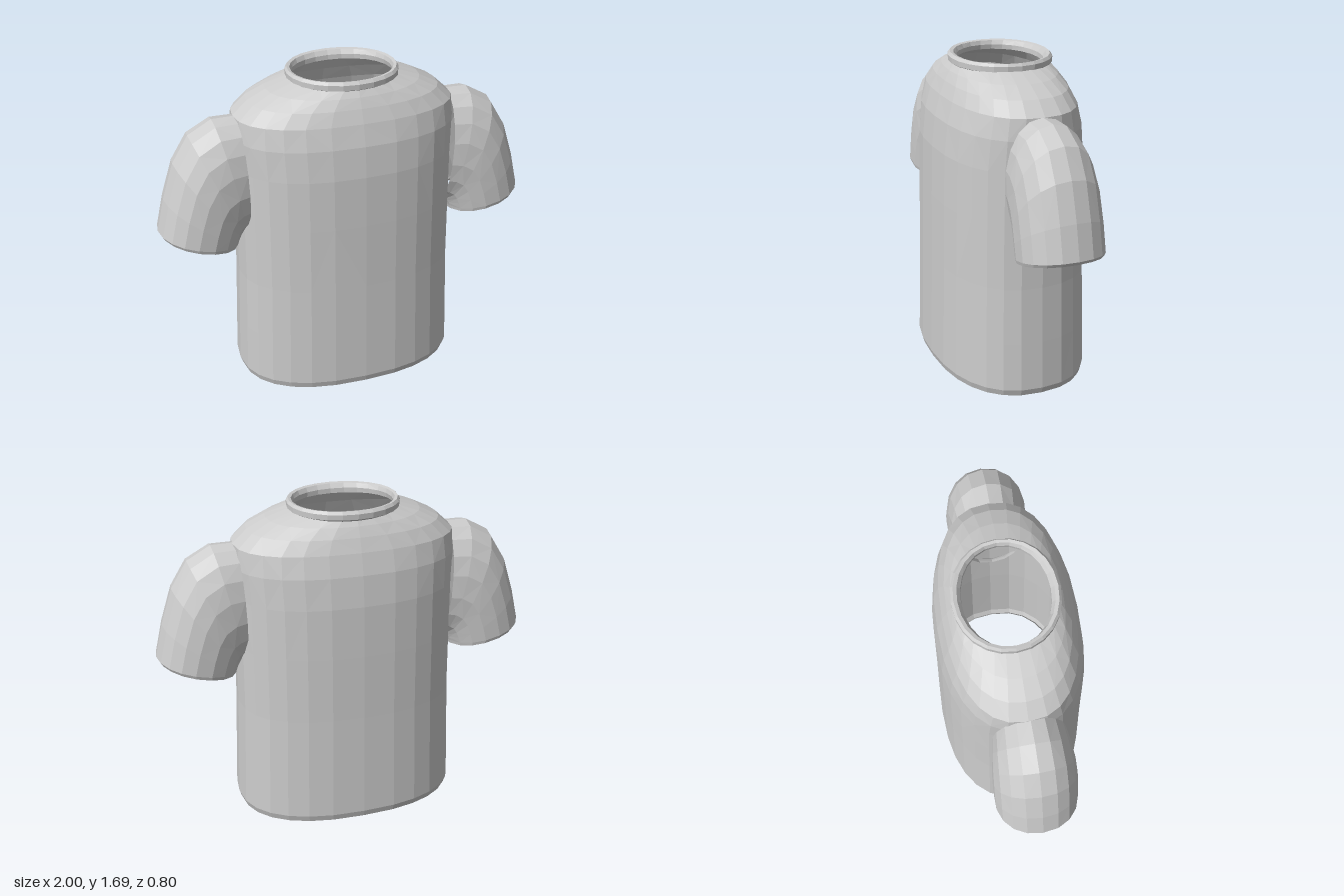
import * as THREE from 'three';

// Signed power, used for superellipse cross-sections
const spow = (v, n) => Math.sign(v) * Math.pow(Math.abs(v), 2 / n);

// Skin a list of closed rings (each an array of [x, y, z]) into a faceted surface
function loft(rings) {
  const n = rings[0].length;
  const index = [];
  for (let i = 0; i < rings.length - 1; i++) {
    for (let j = 0; j < n; j++) {
      const k = (j + 1) % n;
      const a = i * n + j, b = i * n + k, c = a + n, d = b + n;
      if ((i + j) % 2) index.push(a, b, d, a, d, c);
      else index.push(a, b, c, b, d, c);
    }
  }
  const indexed = new THREE.BufferGeometry();
  indexed.setAttribute('position', new THREE.Float32BufferAttribute(rings.flat(2), 3));
  indexed.setIndex(index);
  const geometry = indexed.toNonIndexed();
  geometry.computeVertexNormals();
  return geometry;
}

// Horizontal superellipse ring
function levelRing(y, a, b, n, zOff, count) {
  return Array.from({ length: count }, (_, j) => {
    const t = (j / count) * Math.PI * 2;
    return [a * spow(Math.cos(t), n), y, zOff - b * spow(Math.sin(t), n)];
  });
}

// Tilted sleeve ring spanning from an underarm point to an outer point
function sleeveRing([ix, iy, ox, oy, w], side, count) {
  return Array.from({ length: count }, (_, j) => {
    const t = (j / count) * Math.PI * 2;
    const f = 0.5 + 0.5 * spow(Math.cos(t), 2.15);
    return [
      side * (ix + (ox - ix) * f),
      iy + (oy - iy) * f,
      0.01 - side * w * spow(Math.sin(t), 2.15),
    ];
  });
}

export function createModel() {
  const shirt = new THREE.Group();
  shirt.name = 'shirt';
  const fabric = new THREE.MeshStandardMaterial({
    color: 0xcccccc, flatShading: true, side: THREE.DoubleSide,
  });
  fabric.name = 'light grey fabric';

  const add = (name, rings) => {
    const mesh = new THREE.Mesh(loft(rings), fabric);
    mesh.name = name;
    shirt.add(mesh);
  };

  // Body: rolled hem, slightly waisted sides, rounded shoulders, open neck
  const body = [ // y, half width, half depth, squareness
    [0.02, 0.575, 0.378, 2.4],
    [0.0, 0.588, 0.39, 2.4],
    [0.035, 0.6, 0.4, 2.4],
    [0.3, 0.592, 0.393, 2.4],
    [0.6, 0.582, 0.385, 2.4],
    [0.95, 0.58, 0.378, 2.4],
    [1.22, 0.58, 0.37, 2.4],
    [1.38, 0.588, 0.352, 2.4],
    [1.49, 0.58, 0.322, 2.4],
    [1.56, 0.505, 0.294, 2.35],
    [1.61, 0.405, 0.268, 2.2],
    [1.65, 0.28, 0.24, 2.05],
  ];
  add('body', body.map(([y, a, b, n]) => levelRing(y, a, b, n, 0, 28)));

  // Neckband: a flattened roll around the neck opening
  const band = [ // y, half width, half depth
    [1.632, 0.275, 0.243],
    [1.645, 0.29, 0.262],
    [1.672, 0.291, 0.263],
    [1.686, 0.281, 0.25],
    [1.682, 0.266, 0.232],
    [1.66, 0.26, 0.215],
    [1.635, 0.266, 0.213],
    [1.632, 0.275, 0.243],
  ];
  add('neckband', band.map(([y, a, b]) => levelRing(y, a, b, 2.08, -0.007, 24)));

  // Sleeves: rings fan round the underarm from the cuff up to the armhole
  const sleeve = [ // underarm x, y, outer x, y, half depth
    [0.6, 0.82, 0.975, 0.91, 0.2],
    [0.59, 0.802, 0.988, 0.896, 0.21],
    [0.585, 0.82, 1.0, 0.915, 0.215],
    [0.578, 0.835, 0.96, 1.09, 0.215],
    [0.572, 0.845, 0.9, 1.28, 0.213],
    [0.565, 0.855, 0.815, 1.42, 0.208],
    [0.555, 0.862, 0.69, 1.49, 0.198],
    [0.54, 0.87, 0.57, 1.492, 0.185],
  ];
  for (const [name, side] of [['leftSleeve', 1], ['rightSleeve', -1]]) {
    add(name, sleeve.map((s) => sleeveRing(s, side, 18)));
  }

  return shirt;
}
